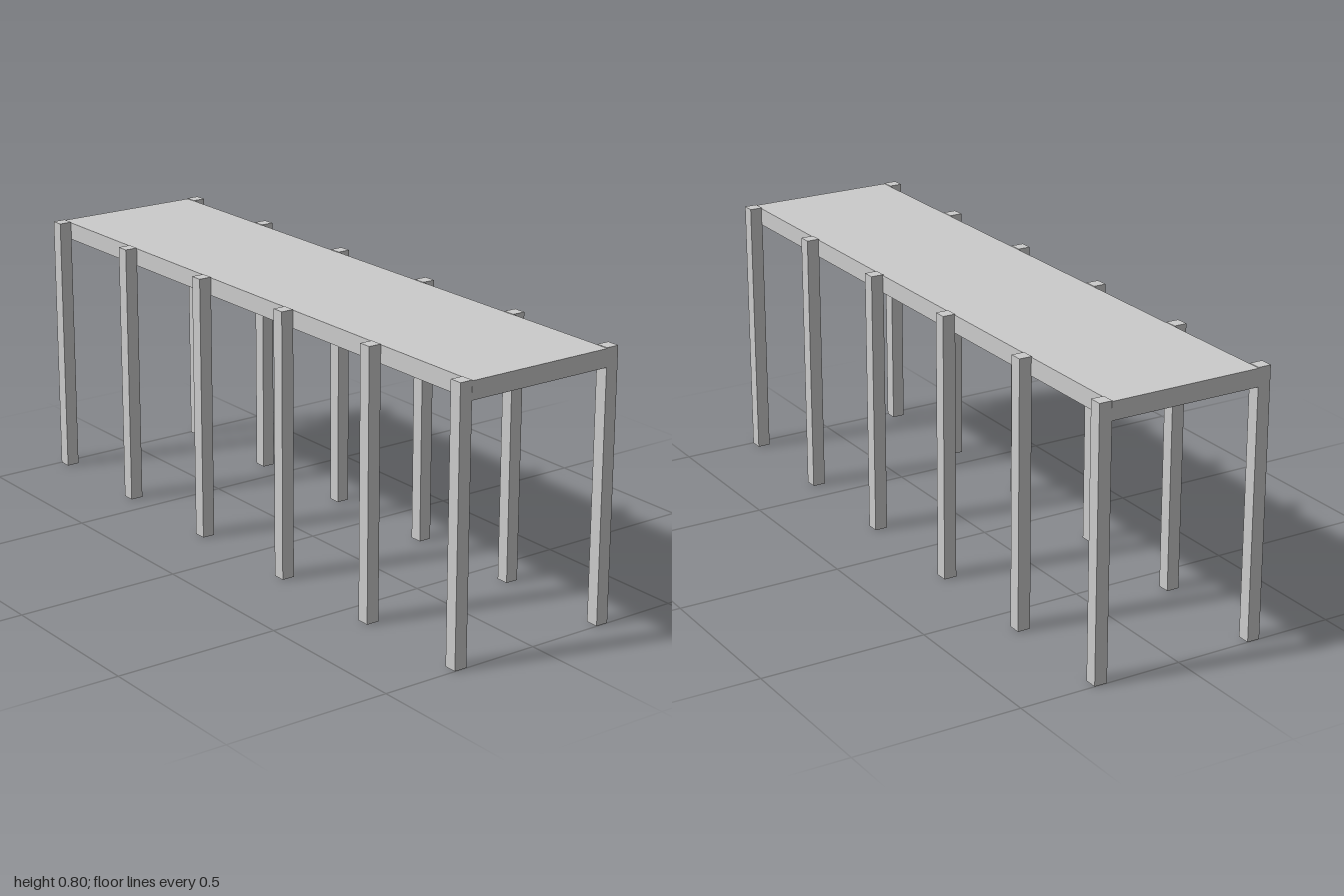
import * as THREE from 'three';

export function createModel() {
  const group = new THREE.Group();
  const material = new THREE.MeshStandardMaterial({ color: 0xcccccc, flatShading: true });

  const addBox = (name, [w, h, d], [x, y, z]) => {
    const mesh = new THREE.Mesh(new THREE.BoxGeometry(w, h, d), material);
    mesh.name = name;
    mesh.position.set(x, y, z);
    group.add(mesh);
  };

  // Deck slab, its top just below the post tops
  const bottom = 0.745, top = 0.798;
  addBox('deck', [2, top - bottom, 0.464], [0, (top + bottom) / 2, -0.001]);

  // Two rows of square posts standing against the long edges
  const post = 0.039, height = 0.8;
  for (const x of [0.98, 0.6, 0.203]) {
    for (const sx of [-1, 1]) {
      addBox('frontPost', [post, height, post], [sx * x, height / 2, 0.2505]);
      addBox('backPost', [post, height, post], [sx * x, height / 2, -0.2505]);
    }
  }
  return group;
}
